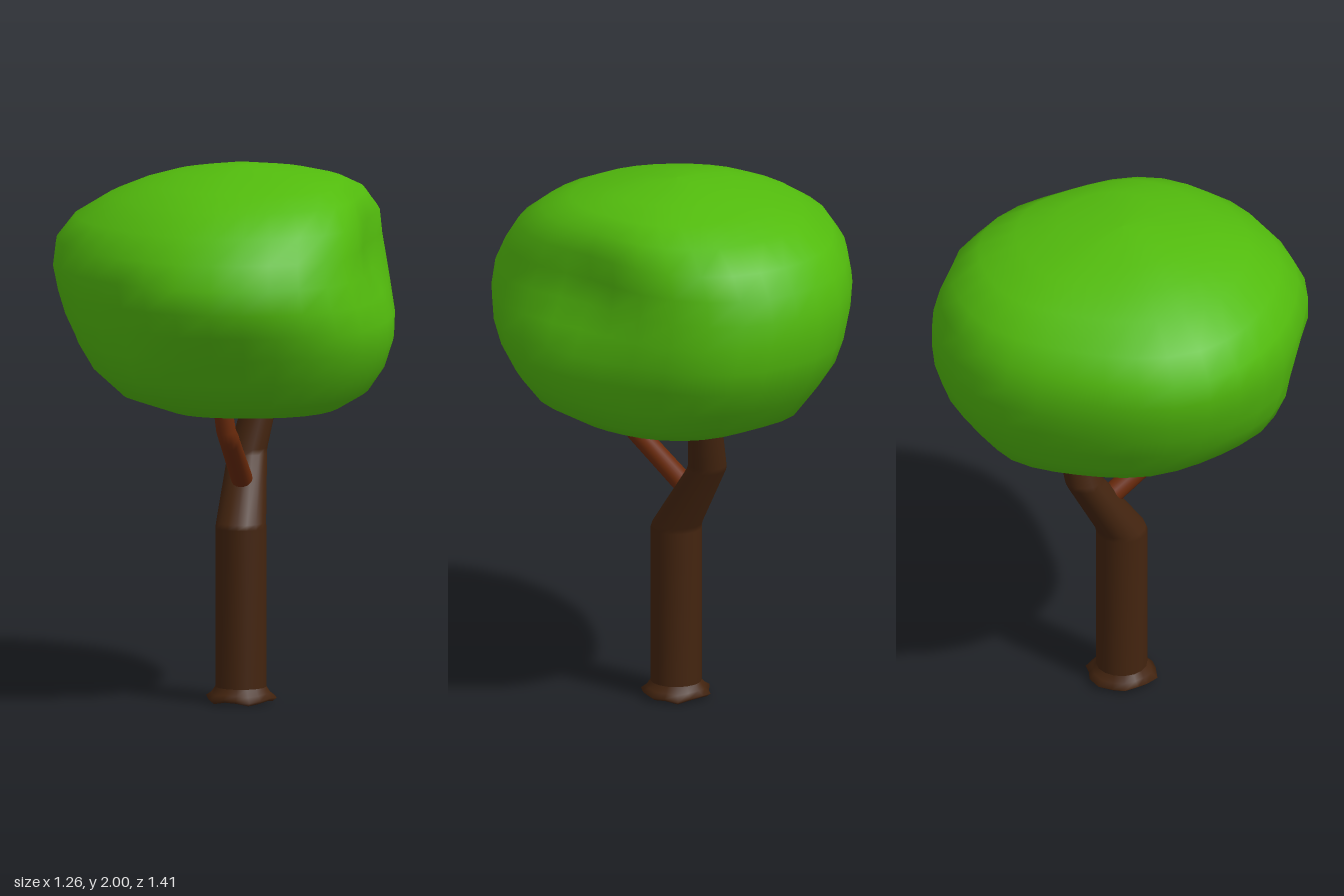
import * as THREE from 'three';

const SIDES = 32;

// One closed ring of points; tilt leans its axis from +y towards +z.
function ring(x, y, z, r, tilt = 0, sides = 16) {
  return Array.from({ length: sides }, (_, i) => {
    const a = (i / sides) * Math.PI * 2;
    const v = r * Math.sin(a);
    return new THREE.Vector3(x + r * Math.cos(a), y - v * Math.sin(tilt), z + v * Math.cos(tilt));
  });
}

// Skin a stack of rings (bottom to top) with smooth normals.
function loft(rings) {
  const n = rings[0].length;
  const index = [];
  for (let j = 0; j < rings.length - 1; j++) {
    for (let i = 0; i < n; i++) {
      const a = j * n + i, b = j * n + ((i + 1) % n);
      index.push(a, a + n, b, b, a + n, b + n);
    }
  }
  const geometry = new THREE.BufferGeometry().setFromPoints(rings.flat());
  geometry.setIndex(index);
  geometry.computeVertexNormals();
  return geometry;
}

// Crown: height, then reach towards -x, +x, -z, +z
const CROWN = [
  [1.10, -0.08, 0.30, -0.22, 0.22],
  [1.11, -0.20, 0.43, -0.38, 0.36],
  [1.17, -0.38, 0.53, -0.52, 0.50],
  [1.26, -0.48, 0.595, -0.59, 0.56],
  [1.36, -0.545, 0.635, -0.66, 0.62],
  [1.45, -0.59, 0.645, -0.69, 0.67],
  [1.54, -0.62, 0.625, -0.705, 0.71],
  [1.63, -0.64, 0.60, -0.705, 0.705],
  [1.72, -0.63, 0.58, -0.68, 0.66],
  [1.81, -0.56, 0.57, -0.63, 0.59],
  [1.89, -0.43, 0.52, -0.52, 0.48],
  [1.94, -0.31, 0.44, -0.37, 0.36],
  [1.975, -0.19, 0.32, -0.22, 0.20],
  [1.995, -0.05, 0.15, -0.10, 0.10],
];

// Soft dents (positive) and bulges (negative): x, y, z, depth, width
const DENTS = [
  [0.58, 1.68, 0.02, 0.06, 0.24],
  [0.58, 1.38, -0.32, 0.04, 0.22],
  [-0.32, 1.45, 0.55, 0.03, 0.14],
  [0.47, 1.34, 0.40, -0.015, 0.2],
];

// Fullness of the diagonals against an ellipse, by quadrant and height
function fullness(c, s, y) {
  if (c > 0) return s > 0 ? 0.05 : 0.06;
  if (s < 0) return -0.08;
  return THREE.MathUtils.lerp(0.07, -0.04, THREE.MathUtils.smoothstep(y, 1.25, 1.6));
}

function crownGeometry() {
  const cx = 0.05;
  const pole = (y) => Array.from({ length: SIDES }, () => new THREE.Vector3(cx, y, 0));
  const rings = CROWN.map(([y, x0, x1, z0, z1]) =>
    Array.from({ length: SIDES }, (_, i) => {
      const a = (i / SIDES) * Math.PI * 2;
      const c = Math.cos(a), s = Math.sin(a);
      const f = 1 + fullness(c, s, y) * Math.sin(2 * a) ** 2;
      const p = new THREE.Vector3(
        cx + Math.abs(c) * f * ((c > 0 ? x1 : x0) - cx), y, Math.abs(s) * f * (s > 0 ? z1 : z0));
      for (const [dx, dy, dz, depth, width] of DENTS) {
        const d2 = (p.x - dx) ** 2 + (p.y - dy) ** 2 + (p.z - dz) ** 2;
        const push = depth * Math.exp(-d2 / (width * width));
        const len = Math.hypot(p.x - cx, p.z);
        p.x -= ((p.x - cx) / len) * push;
        p.z -= (p.z / len) * push;
      }
      return p;
    }));
  return loft([pole(1.105), ...rings, pole(2)]);
}

// Ragged root flare: the rim wobbles in reach and height
function rootFlareGeometry() {
  const rim = (y, r, wobble) => ring(0.055, y, 0, r).map((p, i) => {
    const w = Math.sin(i * 2.3) + 0.6 * Math.sin(i * 4.1 + 1);
    p.x = 0.055 + (p.x - 0.055) * (1 + 0.05 * wobble * w);
    p.z *= 1 + 0.05 * wobble * w;
    p.y += 0.006 * wobble * Math.sin(i * 1.7);
    return p;
  });
  return loft([
    ring(0.055, 0.008, 0, 0), rim(0.008, 0.115, 1), rim(0.02, 0.13, 1),
    rim(0.036, 0.11, 0.6), ring(0.055, 0.06, 0, 0.095),
  ]);
}

export function createModel() {
  const tree = new THREE.Group();
  tree.name = 'tree';
  const leaf = new THREE.MeshStandardMaterial({ color: 0x52bb0d });
  leaf.name = 'leaf green';
  const bark = new THREE.MeshStandardMaterial({ color: 0x43240f });
  bark.name = 'dark bark';
  const twig = new THREE.MeshStandardMaterial({ color: 0x6a2a0b });
  twig.name = 'reddish bark';

  const add = (name, geometry, material) => {
    const mesh = new THREE.Mesh(geometry, material);
    mesh.name = name;
    tree.add(mesh);
  };

  add('crown', crownGeometry(), leaf);
  add('rootFlare', rootFlareGeometry(), bark);

  // Trunk bends back, then rises into the crown
  add('trunk', loft([
    ring(0.055, 0.05, 0, 0.095), ring(0.055, 0.65, 0, 0.095), ring(0.055, 0.67, -0.005, 0.093),
    ring(0.055, 0.905, -0.15, 0.073), ring(0.057, 0.925, -0.156, 0.071),
    ring(0.10, 1.10, -0.185, 0.062), ring(0.12, 1.25, -0.20, 0.05), ring(0.12, 1.25, -0.20, 0),
  ]), bark);

  // Side branch reaches forward, then turns up
  add('branch', loft([
    ring(0.053, 0.81, -0.06, 0.04, 0.98), ring(0.053, 1.005, 0.245, 0.037, 0.98),
    ring(0.053, 1.025, 0.272, 0.038, 0.62), ring(0.045, 1.05, 0.28, 0.037, 0.25),
    ring(0.03, 1.20, 0.32, 0.034, 0.25), ring(0.03, 1.20, 0.32, 0),
  ]), twig);

  return tree;
}
